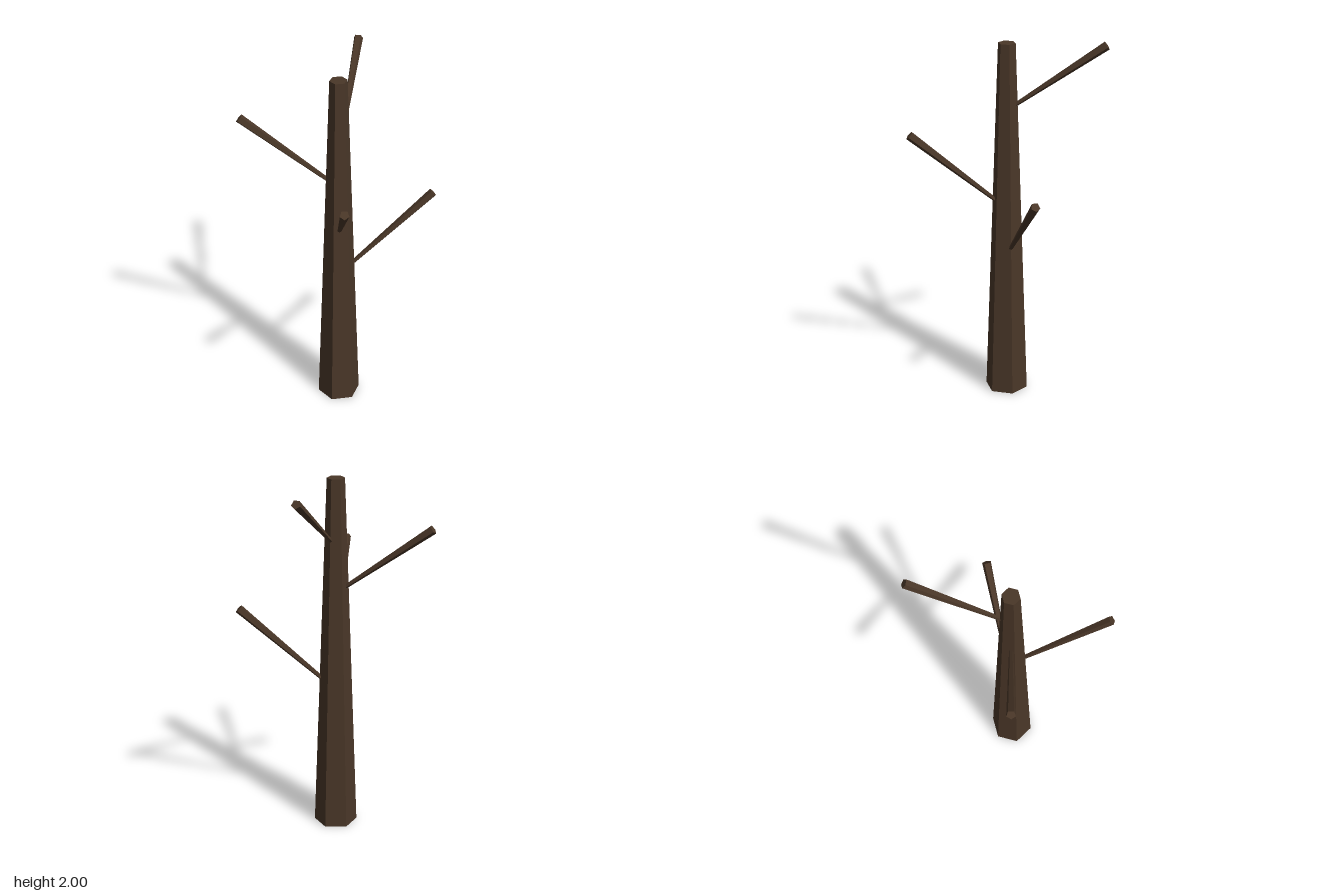
import * as THREE from 'three';

export function createModel() {
  const model = new THREE.Group();
  const bark = new THREE.MeshStandardMaterial({ color: 0x4a3728, flatShading: true });
  bark.name = 'bark';

  // Tapered six-sided trunk, corners pointing to the sides
  const height = 1.98;
  const trunk = new THREE.Mesh(
    new THREE.CylinderGeometry(0.047, 0.117, height, 6, 1, false, Math.PI / 6), bark);
  trunk.name = 'trunk';
  trunk.position.set(-0.011, height / 2, -0.019);
  model.add(trunk);

  // Five-sided branches, thin at the trunk and thicker at the cut tip
  const up = new THREE.Vector3(0, 1, 0);
  function addBranch(name, root, tip) {
    const a = new THREE.Vector3(...root);
    const b = new THREE.Vector3(...tip);
    const dir = b.clone().sub(a);
    const length = dir.length();
    dir.normalize();
    const branch = new THREE.Mesh(new THREE.CylinderGeometry(0.025, 0.011, length, 5), bark);
    branch.name = name;
    branch.position.copy(a).add(b).multiplyScalar(0.5);
    // Swing around the trunk first, then lean outward
    const swing = new THREE.Quaternion().setFromAxisAngle(up, Math.atan2(dir.x, dir.z));
    const lean = new THREE.Quaternion().setFromAxisAngle(
      new THREE.Vector3(1, 0, 0), Math.acos(dir.y));
    branch.quaternion.copy(swing).multiply(lean);
    model.add(branch);
  }

  addBranch('leftBranch', [0.05, 0.85, -0.02], [0.503, 1.264, -0.02]);
  addBranch('frontBranch', [-0.016, 1.11, 0.03], [-0.074, 1.505, 0.492]);
  addBranch('rightBranch', [-0.052, 1.385, -0.031], [-0.507, 1.743, -0.15]);
  addBranch('backBranch', [0.014, 1.65, -0.055], [0.184, 1.98, -0.495]);

  return model;
}
